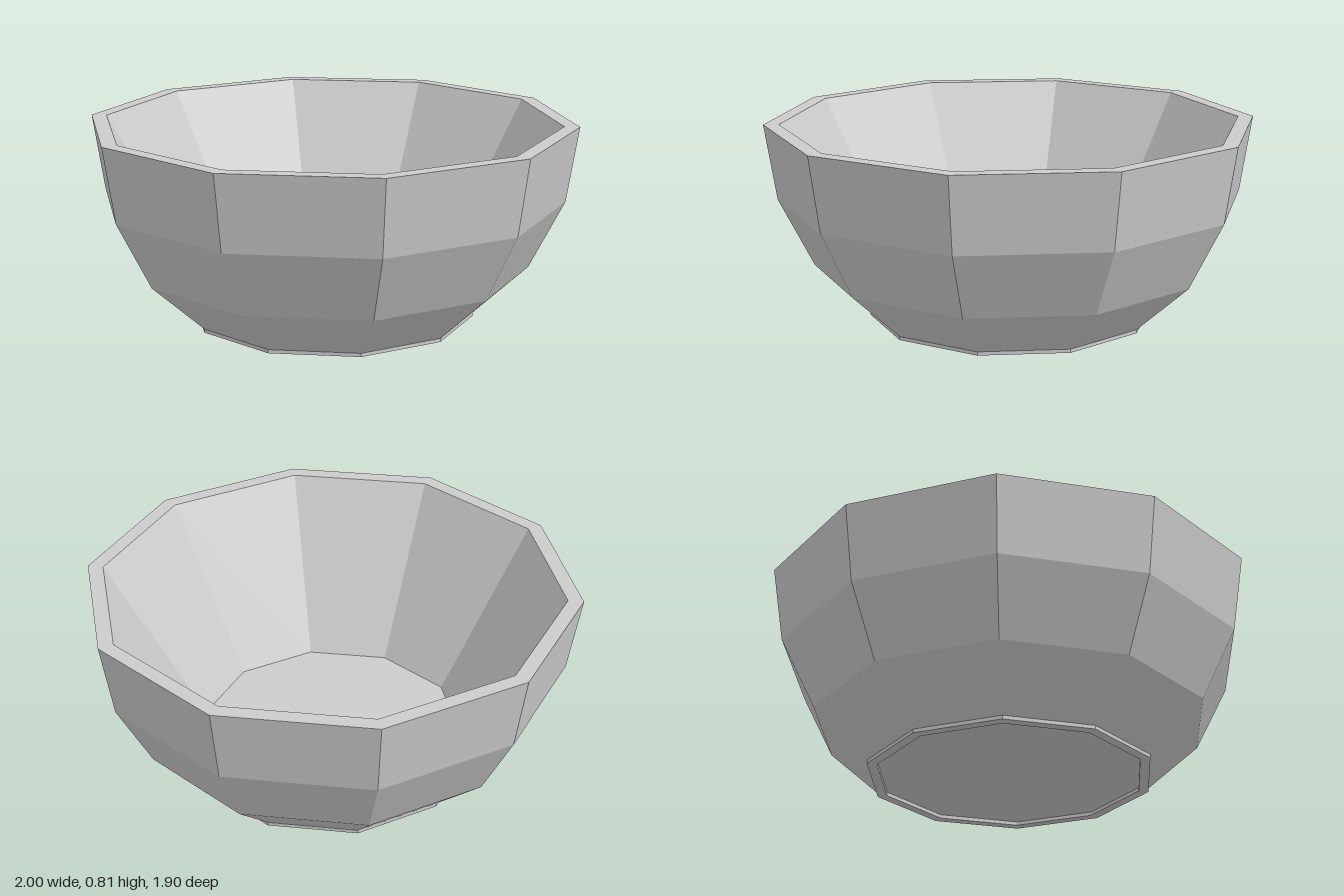
import * as THREE from 'three';

const SIDES = 10;

// Ten-sided lathe with a corner on the x axis; profile runs from underside to inside.
function facetedPart(name, profile) {
  const points = profile.map(([r, y]) => new THREE.Vector2(r, y));
  const geometry = new THREE.LatheGeometry(points, SIDES, Math.PI / 2);
  const material = new THREE.MeshStandardMaterial({ color: 0xcccccc, flatShading: true });
  const mesh = new THREE.Mesh(geometry, material);
  mesh.name = name;
  return mesh;
}

export function createModel() {
  const bowl = new THREE.Group();
  bowl.name = 'bowl';

  // Recessed underside and low foot ring
  bowl.add(facetedPart('foot', [[0, 0.015], [0.545, 0.015], [0.545, 0], [0.587, 0], [0.587, 0.015]]));

  // Outer wall in three steepening bands
  bowl.add(facetedPart('outerWall', [[0.587, 0.015], [0.81, 0.22], [0.952, 0.5], [1, 0.81]]));

  // Flat rim
  bowl.add(facetedPart('rim', [[1, 0.81], [0.937, 0.81]]));

  // Straight sloping inside and flat floor
  bowl.add(facetedPart('inside', [[0.937, 0.81], [0.537, 0.13], [0, 0.13]]));

  return bowl;
}
